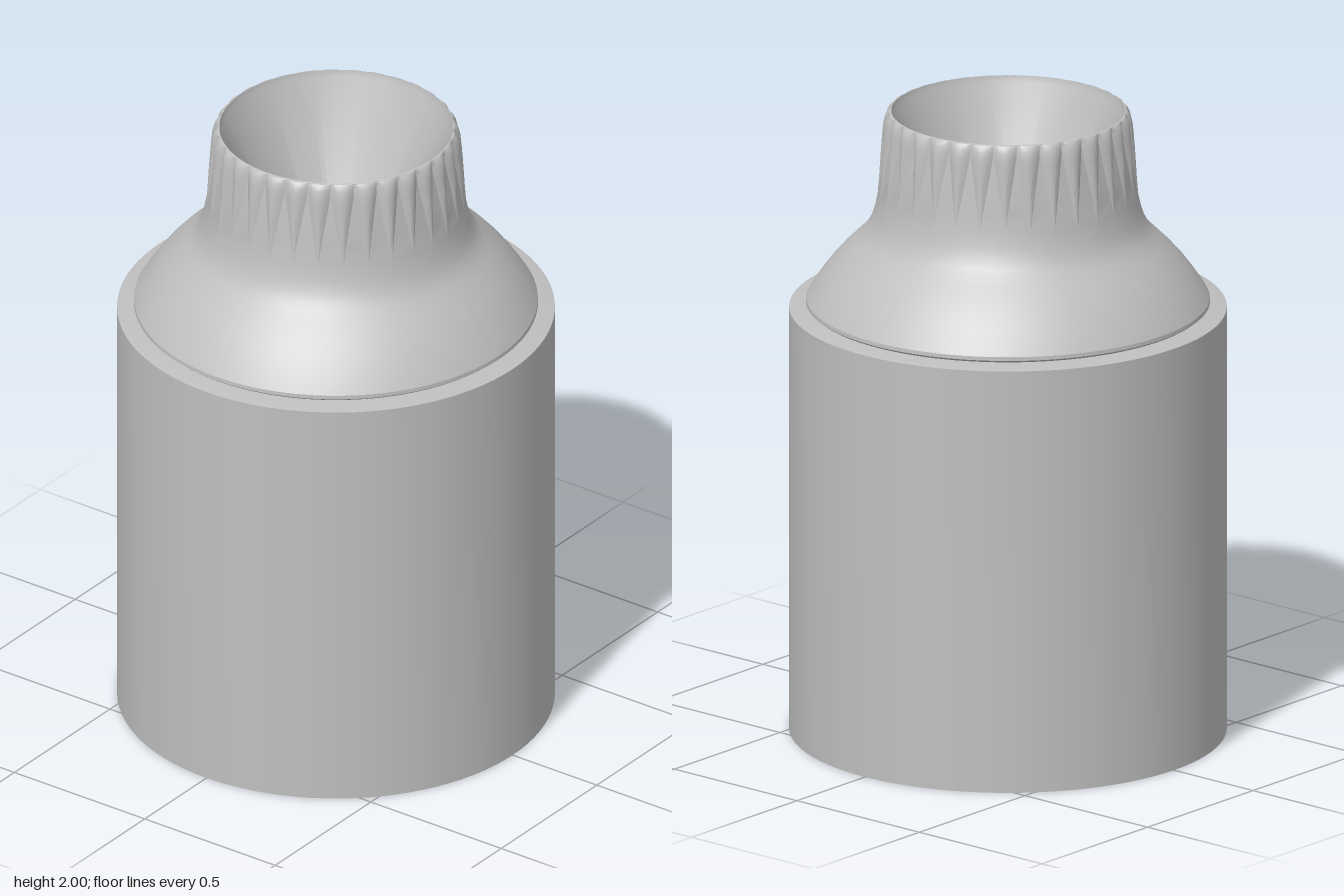
import * as THREE from 'three';
import { toCreasedNormals } from 'three/addons/utils/BufferGeometryUtils.js';

const TEETH = 32;
const PITCH = (Math.PI * 2) / TEETH;

// Revolved part from [radius, height] points, listed from the bottom centre upwards
function lathe(points, segments = 96) {
  const profile = points.map(([r, y]) => new THREE.Vector2(r, y));
  return toCreasedNormals(new THREE.LatheGeometry(profile, segments), 0.45);
}

// Shoulder and neck: a revolved skin with raised teeth that widen towards the rim
function neckGeometry() {
  // height, base radius, tooth height
  const rows = [
    [1.365, 0.6, 0], [1.375, 0.615, 0], [1.383, 0.625, 0], [1.395, 0.624, 0],
    [1.42, 0.609, 0], [1.46, 0.582, 0], [1.5, 0.552, 0], [1.54, 0.516, 0],
    [1.575, 0.481, 0], [1.6, 0.455, 0], [1.62, 0.439, 0], [1.645, 0.425, 0],
    [1.68, 0.413, 0], [1.73, 0.403, 0], [1.78, 0.395, 0.004], [1.83, 0.388, 0.008],
    [1.88, 0.381, 0.012], [1.93, 0.374, 0.015], [1.96, 0.37, 0.016],
    [1.98, 0.368, 0.013], [1.992, 0.366, 0.009], [1.998, 0.365, 0.004],
    [2.0, 0.361, 0],
  ];
  const steps = [-1, -0.6, -0.2, 0.2, 0.6, 1];
  const columns = TEETH * steps.length;
  const positions = [];
  const index = [];
  rows.forEach(([y, base, height], j) => {
    const spread = THREE.MathUtils.clamp((y - 1.73) / 0.24, 0.06, 0.97);
    for (let i = 0; i < columns; i++) {
      const s = steps[i % steps.length];
      const tooth = Math.floor(i / steps.length) + 0.5;
      // even spacing on the plain shoulder, gathered columns on the teeth
      const width = y < 1.7 ? 0.83 : spread;
      const angle = (tooth + s * width * 0.5) * PITCH;
      const r = base + height * (1 - s * s);
      positions.push(r * Math.sin(angle), y, r * Math.cos(angle));
      if (j === rows.length - 1) continue;
      const a = j * columns + i;
      const b = j * columns + ((i + 1) % columns);
      index.push(a, b, b + columns, a, b + columns, a + columns);
    }
  });
  const geometry = new THREE.BufferGeometry();
  geometry.setAttribute('position', new THREE.Float32BufferAttribute(positions, 3));
  geometry.setIndex(index);
  return toCreasedNormals(geometry, 0.4);
}

export function createModel() {
  const model = new THREE.Group();
  const grey = new THREE.MeshStandardMaterial({ color: 0xbfbfbf });
  grey.name = 'plain grey';

  const add = (name, geometry) => {
    const mesh = new THREE.Mesh(geometry, grey);
    mesh.name = name;
    model.add(mesh);
  };

  // Cylindrical container with a gently raised ledge
  add('body', lathe([[0, 0], [0.677, 0], [0.677, 1.365], [0.615, 1.376], [0.59, 1.376]]));

  // Shoulder with toothed neck
  add('shoulderAndNeck', neckGeometry());

  // Funnel inside the mouth
  add('funnel', lathe([[0.361, 2], [0.357, 1.98], [0.03, 1.4], [0, 1.4]]));

  return model;
}
